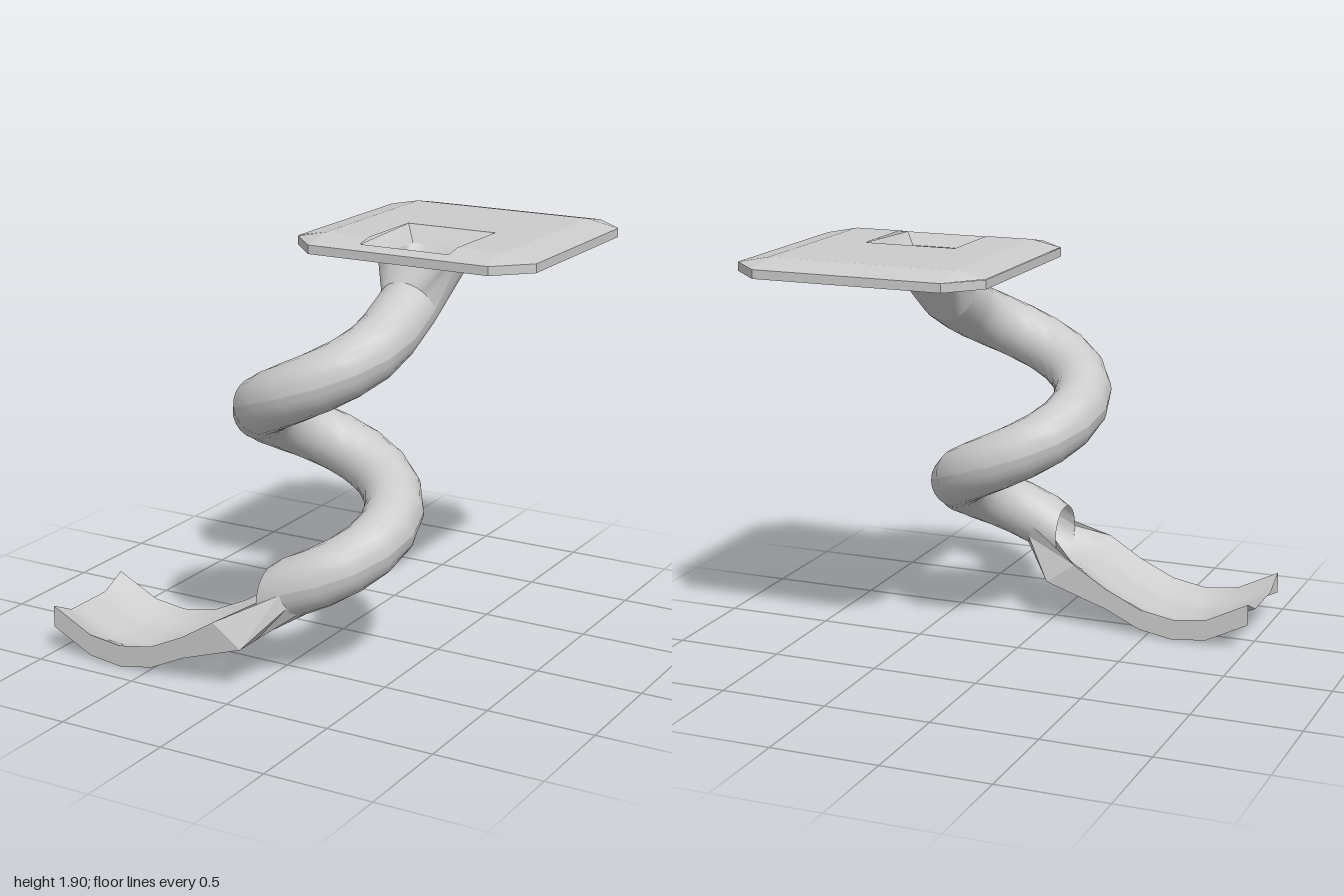
import * as THREE from 'three';

const CX = 0.117, CZ = 0.33, R = 0.292, TUBE = 0.133, Y0 = 0.44, PITCH = 0.14;
const SIDES = 24;

function makeMesh(name, geometry, flat = false) {
  const material = new THREE.MeshStandardMaterial({
    color: 0xcccccc, side: THREE.DoubleSide, flatShading: flat,
  });
  const mesh = new THREE.Mesh(geometry, material);
  mesh.name = name;
  return mesh;
}

// Surface through rows of points; rows all have the same length
function loft(rows) {
  const n = rows[0].length, index = [];
  for (let i = 0; i < rows.length - 1; i++) {
    for (let j = 0; j < n - 1; j++) {
      const a = i * n + j, b = a + n;
      index.push(a, a + 1, b, b, a + 1, b + 1);
    }
  }
  const g = new THREE.BufferGeometry();
  g.setAttribute('position', new THREE.Float32BufferAttribute(rows.flat(2), 3));
  g.setIndex(index);
  g.computeVertexNormals();
  return g;
}

// Points of a tube ring around centre c, with axes a (phi = 0) and u (phi = 90 degrees)
function ring(c, a, u, from = 0, to = Math.PI * 2, count = SIDES) {
  return Array.from({ length: count + 1 }, (_, i) => {
    const phi = from + (to - from) * i / count;
    return c.map((v, k) => v + TUBE * (Math.cos(phi) * a[k] + Math.sin(phi) * u[k]));
  });
}

// Ring square to the spiral at angle t, moved along the tangent by a horizontal distance
function helixRing(t, ahead = 0, ...arc) {
  const s = Math.sin(t), c = Math.cos(t), slope = PITCH / R;
  const cs = 1 / Math.hypot(1, slope), sn = slope * cs;
  const centre = [CX + R * s + ahead * c, Y0 + PITCH * t + ahead * slope, CZ + R * c - ahead * s];
  return ring(centre, [s, 0, c], [-sn * c, cs, sn * s], ...arc);
}

// Rectangle outline at height y
const rect = (x0, x1, z0, z1, y) =>
  [[x0, y, z0], [x1, y, z0], [x1, y, z1], [x0, y, z1], [x0, y, z0]];

function platform() {
  const group = new THREE.Group();
  group.name = 'platform';
  const xs = [-0.16, -0.02, 0.2, 0.63, 0.85, 1];
  const zs = [-0.89, -0.74, -0.24, 0.12, 0.2, 0.27];
  const EDGE = 1.875, TOP = 1.905, BASE = 1.835;
  const height = (x, z) => {
    const out = Math.max(-0.02 - x, x - 0.85, -0.74 - z, z - 0.12, 0);
    return TOP - (TOP - EDGE) * out / 0.15;
  };

  // Top: flat middle, sloping border, cut corners and a square opening
  const pos = [];
  for (let i = 0; i < 5; i++) {
    for (let j = 0; j < 5; j++) {
      if (i === 2 && (j === 2 || j === 3)) continue;
      const cell = [[i, j], [i, j + 1], [i + 1, j + 1], [i + 1, j]].filter(([a, b]) => {
        const outer = (a === 0 || a === 5) && (b < 1 || b > 3);
        const cut = (a === 1 || a === 4 || a === 0 || a === 5) && b === 4 && i % 4 === 0;
        return !outer && !cut;
      });
      if (i % 4 === 0 && j > 2) continue;
      for (let k = 1; k < cell.length - 1; k++) {
        for (const [a, b] of [cell[0], cell[k], cell[k + 1]]) {
          pos.push(xs[a], height(xs[a], zs[b]), zs[b]);
        }
      }
    }
  }
  // Front corner triangles
  for (const [a, b] of [[-0.16, -0.02], [1, 0.85]]) {
    const tri = [[a, EDGE, 0.12], [b, EDGE, 0.27], [b, TOP, 0.12]];
    pos.push(...(a < b ? tri : tri.reverse()).flat());
  }
  const top = new THREE.BufferGeometry();
  top.setAttribute('position', new THREE.Float32BufferAttribute(pos, 3));
  top.computeVertexNormals();
  group.add(makeMesh('platformTop', top, true));

  // Rim
  const outline = [[-0.02, -0.89], [0.85, -0.89], [1, -0.74], [1, 0.12],
    [0.85, 0.27], [-0.02, 0.27], [-0.16, 0.12], [-0.16, -0.74]];
  const loop = [...outline, outline[0]];
  const rimRows = [EDGE, BASE].map((y) => loop.map(([x, z]) => [x, y, z]));
  group.add(makeMesh('platformRim', loft(rimRows), true));

  // Underside with the chute opening
  const shape = new THREE.Shape(outline.map(([x, z]) => new THREE.Vector2(x, z)));
  shape.holes.push(new THREE.Path(
    rect(0.26, 0.58, -0.17, 0.15, 0).map(([x, , z]) => new THREE.Vector2(x, z))));
  const base = new THREE.ShapeGeometry(shape).rotateX(Math.PI / 2).translate(0, BASE, 0);
  group.add(makeMesh('platformBase', base, true));

  // Sloping sides of the opening
  const lip = rect(0.2, 0.63, -0.24, 0.2, 0).map(([x, , z]) => [x, height(x, z), z]);
  group.add(makeMesh('openingSides', loft([lip, rect(0.26, 0.58, -0.17, 0.15, BASE)]), true));
  return group;
}

export function createModel() {
  const model = new THREE.Group();
  model.name = 'spiralSlide';
  model.add(platform());

  // Spiral tube: upright mouth, one and a quarter turns, straight top end
  const END = Math.PI * 2.5, STEPS = 20;
  const startArgs = [[0, Y0 - CX * PITCH / R, CZ + R], [0, 0, 1], [0, 1, 0]];
  const rows = [ring(...startArgs)];
  for (let i = 0; i <= STEPS; i++) rows.push(helixRing(END * i / STEPS));
  const last = helixRing(END, 0.18);
  rows.push(last);
  model.add(makeMesh('spiralTube', loft(rows)));

  // Entry chute: square opening blending into the round tube
  const square = Array.from({ length: SIDES + 1 }, (_, i) => {
    const phi = Math.PI * 2 * i / SIDES, c = Math.cos(phi), s = Math.sin(phi);
    const m = 0.16 / Math.max(Math.abs(c), Math.abs(s));
    return [0.42 + c * m, 1.835, -0.01 + s * m];
  });
  model.add(makeMesh('entryChute', loft([last, square])));

  // Exit trough: dished floor curving up to meet the tube mouth
  const profile = [[-1, 0.22], [-0.8, 0.12], [-0.64, 0.1], [-0.47, 0.13], [-0.3, 0.21], [-0.14, 0.31]];
  const floor = profile.map(([x, y]) => Array.from({ length: 9 }, (_, i) => {
    const u = 1 - i / 4;
    return [x, y - 0.06 * Math.min(1, 2 * (1 - Math.abs(u))), 0.63 + 0.26 * u];
  }));
  floor.push(ring(...startArgs, 0, -Math.PI, 8));
  model.add(makeMesh('exitFloor', loft(floor)));

  // Trough side walls
  for (const [name, z] of [['exitWallFront', 0.89], ['exitWallBack', 0.37]]) {
    const upper = profile.map(([x, y]) => [x, y, z]);
    const lower = profile.map(([x, y], i) => (i === 5 ? [0, 0.21, z] : [x, y - 0.1, z]));
    model.add(makeMesh(name, loft([upper, lower]), true));
  }

  // Collar joining the trough to the underside of the tube
  const rim = [[-0.14, 0.31, 0.89]];
  for (let i = 0; i <= 4; i++) rim.push([0, 0.21, 0.89 - 0.13 * i]);
  rim.push([-0.14, 0.31, 0.37]);
  model.add(makeMesh('exitCollar', loft([rim, helixRing(0, 0, 0, -Math.PI, 6)]), true));
  return model;
}
